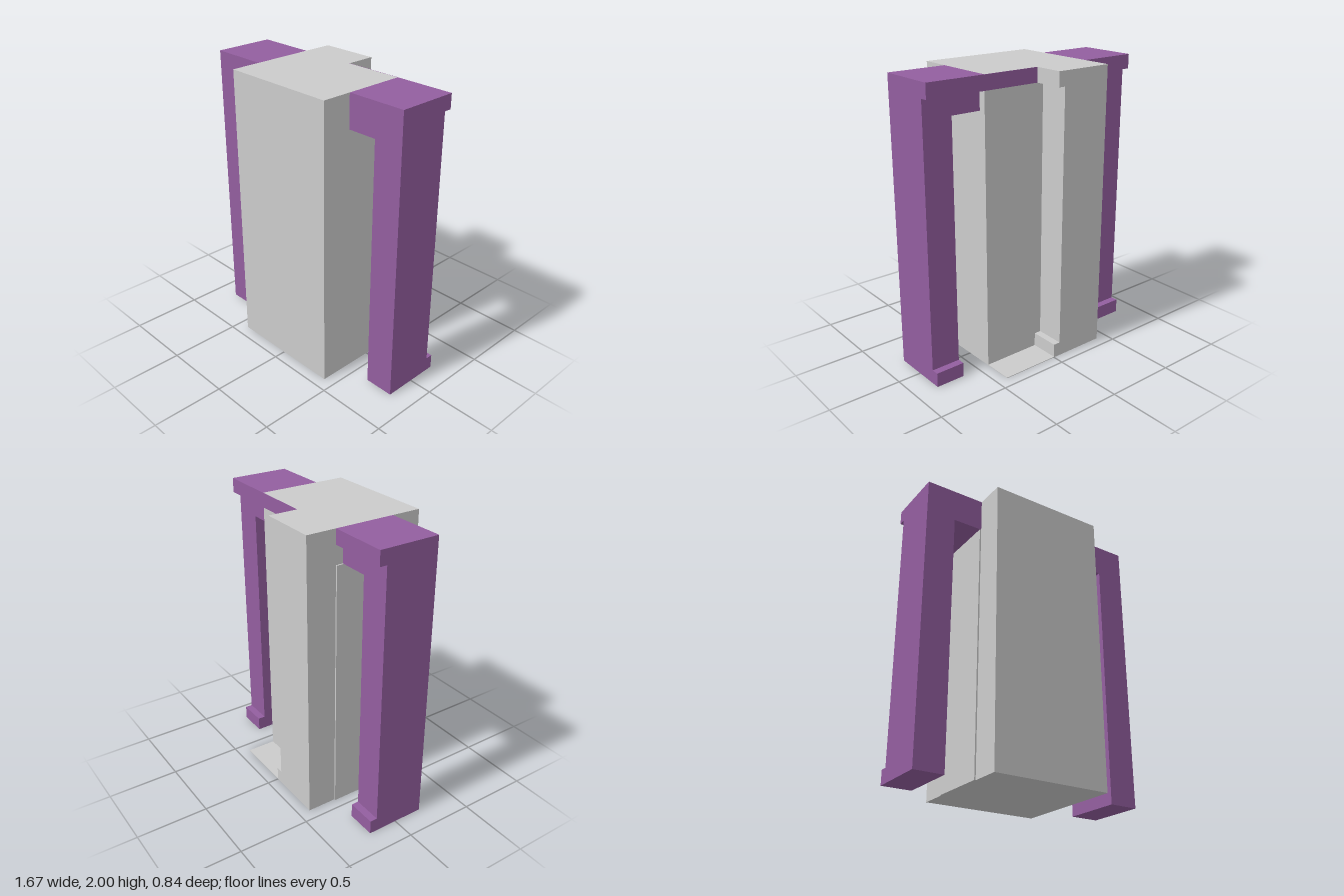
import * as THREE from 'three';

const grey = new THREE.MeshStandardMaterial({ color: 0xcccccc, flatShading: true });
const purple = new THREE.MeshStandardMaterial({ color: 0x935e9f, flatShading: true });

// Box given by its min and max along each axis
function block(name, material, [x0, x1], [y0, y1], [z0, z1]) {
  const mesh = new THREE.Mesh(new THREE.BoxGeometry(x1 - x0, y1 - y0, z1 - z0), material);
  mesh.position.set((x0 + x1) / 2, (y0 + y1) / 2, (z0 + z1) / 2);
  mesh.name = name;
  return mesh;
}

export function createModel() {
  const model = new THREE.Group();
  model.name = 'cabinet';

  // Grey body, with a thin floor plate under the open back corner
  model.add(
    block('body', grey, [-0.418, 0.418], [0, 2], [-0.21, 0.418]),
    block('floorPlate', grey, [0, 0.418], [0, 0.004], [-0.418, -0.21]),
    block('sidePanel', grey, [-0.428, -0.418], [0, 1.77], [-0.21, 0.21])
  );

  // Back column, narrower between its top and bottom caps
  const column = new THREE.Group();
  column.name = 'backColumn';
  column.add(
    block('columnShaft', grey, [-0.418, -0.05], [0.1, 1.9], [-0.418, -0.21]),
    block('columnFoot', grey, [-0.418, 0], [0, 0.1], [-0.418, -0.21]),
    block('columnCap', grey, [-0.418, 0], [1.9, 2], [-0.418, -0.21])
  );
  model.add(column);

  // Arms: side profile with a shallow recess down the back, between lips
  for (const side of [-1, 1]) {
    const arm = new THREE.Group();
    arm.name = side > 0 ? 'leftArm' : 'rightArm';
    const span = (a, b) => (side > 0 ? [a, b] : [-b, -a]);
    arm.add(
      block('leg', purple, span(0.627, 0.835), [0, 2], [-0.16, 0.21]),
      block('footLip', purple, span(0.627, 0.835), [0, 0.1], [-0.212, -0.16]),
      block('shoulder', purple, span(0.418, 0.627), [1.77, 2], [-0.16, 0.21]),
      block('topLip', purple, span(0.418, 0.835), [1.9, 2], [-0.212, -0.16])
    );
    model.add(arm);
  }

  // Lip of the crossbar showing across the open back corner
  model.add(block('crossbarLip', purple, [0, 0.418], [1.9, 2], [-0.213, -0.21]));
  return model;
}
